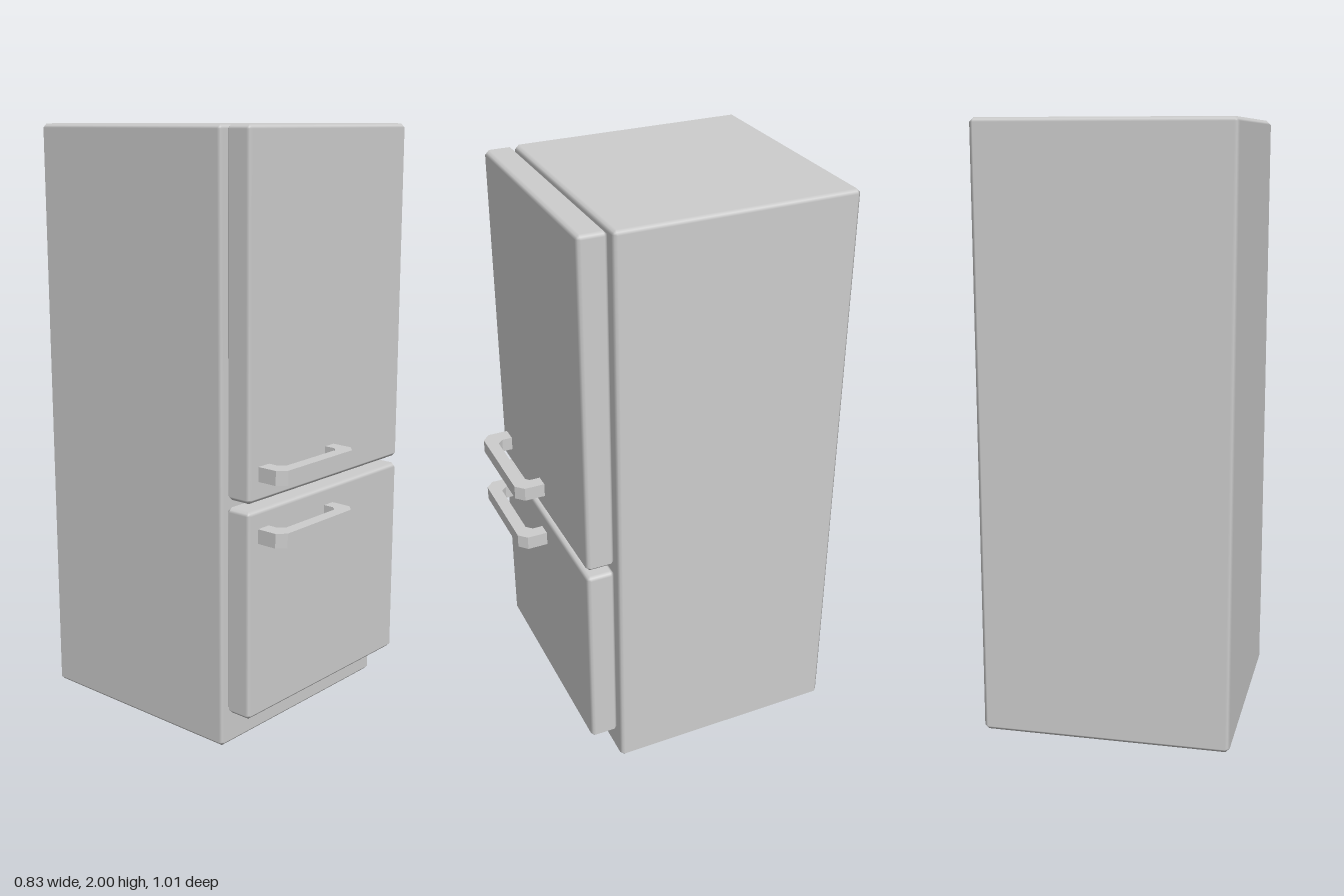
import * as THREE from 'three';

const CHAMFER = 0.014;

// Box with chamfered edges and smooth normals, given by its min and max corners
function chamferBox(min, max, r = CHAMFER) {
  const size = max.map((v, i) => v - min[i]);
  const geo = new THREE.BoxGeometry(1, 1, 1, 3, 3, 3);
  const pos = geo.attributes.position, nor = geo.attributes.normal;
  for (let i = 0; i < pos.count; i++) {
    const p = [pos.getX(i), pos.getY(i), pos.getZ(i)];
    const dir = p.map(v => (Math.abs(v) > 0.4 ? Math.sign(v) : 0));
    const count = dir.reduce((sum, v) => sum + Math.abs(v), 0);
    // inset core corner, pushed out to the middle of the face, edge or corner cut
    const q = p.map((v, k) => (min[k] + max[k]) / 2
      + Math.sign(v) * (size[k] / 2 - r) + dir[k] * r / count);
    pos.setXYZ(i, ...q);
    nor.setXYZ(i, ...dir.map(v => v / Math.sqrt(count)));
  }
  return geo;
}

// Bracket handle: outline seen from above, extruded in height
function handleGeometry(height) {
  const outline = [
    [-0.36, 0.4], [-0.308, 0.4], [-0.308, 0.444], [-0.29, 0.463],
    [-0.04, 0.463], [-0.02, 0.444], [-0.02, 0.4], [0.025, 0.4],
    [0.025, 0.478], [-0.003, 0.505], [-0.332, 0.505], [-0.36, 0.478],
  ];
  const shape = new THREE.Shape(outline.map(([x, z]) => new THREE.Vector2(x, z)));
  const geo = new THREE.ExtrudeGeometry(shape, { depth: height, bevelEnabled: false });
  return geo.rotateX(Math.PI / 2);
}

export function createModel() {
  const group = new THREE.Group();
  const grey = new THREE.MeshStandardMaterial({ color: 0xcccccc });
  grey.name = 'lightGrey';

  const add = (name, geo, y = 0) => {
    const mesh = new THREE.Mesh(geo, grey);
    mesh.name = name;
    mesh.position.y = y;
    group.add(mesh);
  };

  // Cabinet
  add('cabinet', chamferBox([-0.414, 0, -0.505], [0.414, 2, 0.303]));

  // Doors
  add('upperDoor', chamferBox([-0.403, 0.85, 0.31], [0.403, 2, 0.408]));
  add('lowerDoor', chamferBox([-0.403, 0.125, 0.31], [0.403, 0.825, 0.408]));

  // Handles, placed by their top edge
  add('upperHandle', handleGeometry(0.048), 0.966);
  add('lowerHandle', handleGeometry(0.048), 0.764);

  return group;
}
